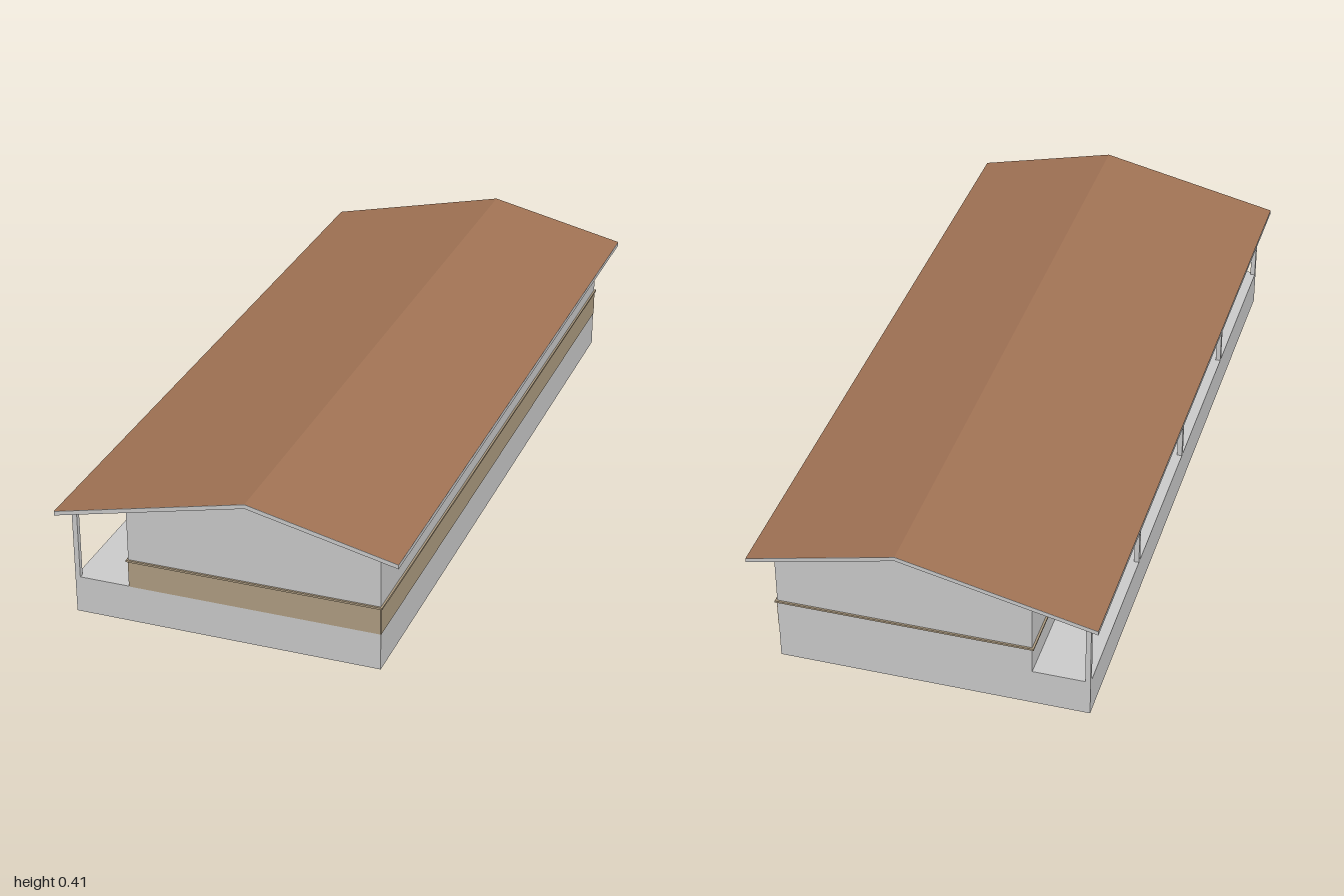
import * as THREE from 'three';

const mat = (name, color) => {
  const m = new THREE.MeshStandardMaterial({ color });
  m.name = name;
  return m;
};

export function createModel() {
  const model = new THREE.Group();
  model.name = 'pavilion';
  const grey = mat('pale grey', 0xcacaca);
  const tan = mat('tan wainscot', 0xaf9d82);
  const brown = mat('brown roofing', 0xa07254);

  const add = (name, geometry, material) => {
    const mesh = new THREE.Mesh(geometry, material);
    mesh.name = name;
    model.add(mesh);
  };
  // Box given by its limits on each axis
  const box = (name, material, [x0, x1], [y0, y1], [z0, z1]) => {
    const g = new THREE.BoxGeometry(x1 - x0, y1 - y0, z1 - z0);
    g.translate((x0 + x1) / 2, (y0 + y1) / 2, (z0 + z1) / 2);
    add(name, g, material);
  };
  // Cross-section in x and y, extruded along z and centred
  const prism = (name, material, points, length) => {
    const shape = new THREE.Shape(points.map(([x, y]) => new THREE.Vector2(x, y)));
    const g = new THREE.ExtrudeGeometry(shape, { depth: length, bevelEnabled: false });
    g.translate(0, 0, -length / 2);
    add(name, g, material);
  };

  const L = -0.268, R = 0.38, Z = 0.96, floor = 0.098, ridge = 0.057;
  const roofLine = [[-0.44, 0.295], [ridge, 0.407], [0.437, 0.32]];
  const thick = 0.011;

  // Plinth with the porch floor, and the gabled hall
  box('plinth', grey, [-0.413, R], [0, floor], [-Z, Z]);
  prism('hallWalls', grey, [[L, floor], [R, floor], [R, 0.322], [ridge, 0.396], [L, 0.323]], 2 * Z);

  // Roof slab
  const under = roofLine.map(([x, y]) => [x, y - thick]);
  prism('roofSlab', grey, [...under, ...[...roofLine].reverse()], 2);

  // Roof covering, one sheet for each slope
  for (let i = 0; i < 2; i++) {
    const [[x0, y0], [x1, y1]] = [roofLine[i], roofLine[i + 1]];
    const g = new THREE.PlaneGeometry(Math.hypot(x1 - x0, y1 - y0), 2);
    g.rotateX(-Math.PI / 2);
    g.rotateZ(Math.atan2(y1 - y0, x1 - x0));
    g.translate((x0 + x1) / 2, (y0 + y1) / 2 + 0.0008, 0);
    add(i ? 'leftRoofCovering' : 'rightRoofCovering', g, brown);
  }

  // Wainscot panels, with a short return on the porch side
  const t = 0.0015, band = [floor, 0.17];
  box('frontWainscot', tan, [L, R], band, [Z, Z + t]);
  box('sideWainscot', tan, [R, R + t], band, [-Z, Z]);
  box('porchWainscotReturn', tan, [L - t, L], band, [0.68, Z]);

  // Rail running round the hall
  const p = 0.005, rail = [0.168, 0.173];
  for (const s of [-1, 1]) {
    const edge = s > 0 ? [Z, Z + p] : [-Z - p, -Z];
    box(s > 0 ? 'frontRail' : 'backRail', tan, [L - p, R + p], rail, edge);
  }
  box('porchRail', tan, [L - p, L], rail, [-Z, Z]);
  box('sideRail', tan, [R, R + p], rail, [-Z, Z]);

  // Porch posts
  for (let i = 0; i < 5; i++) {
    const z = -0.9535 + i * 0.47675;
    box('porchPost', grey, [-0.413, -0.4], [floor, 0.2905], [z - 0.0065, z + 0.0065]);
  }
  return model;
}
